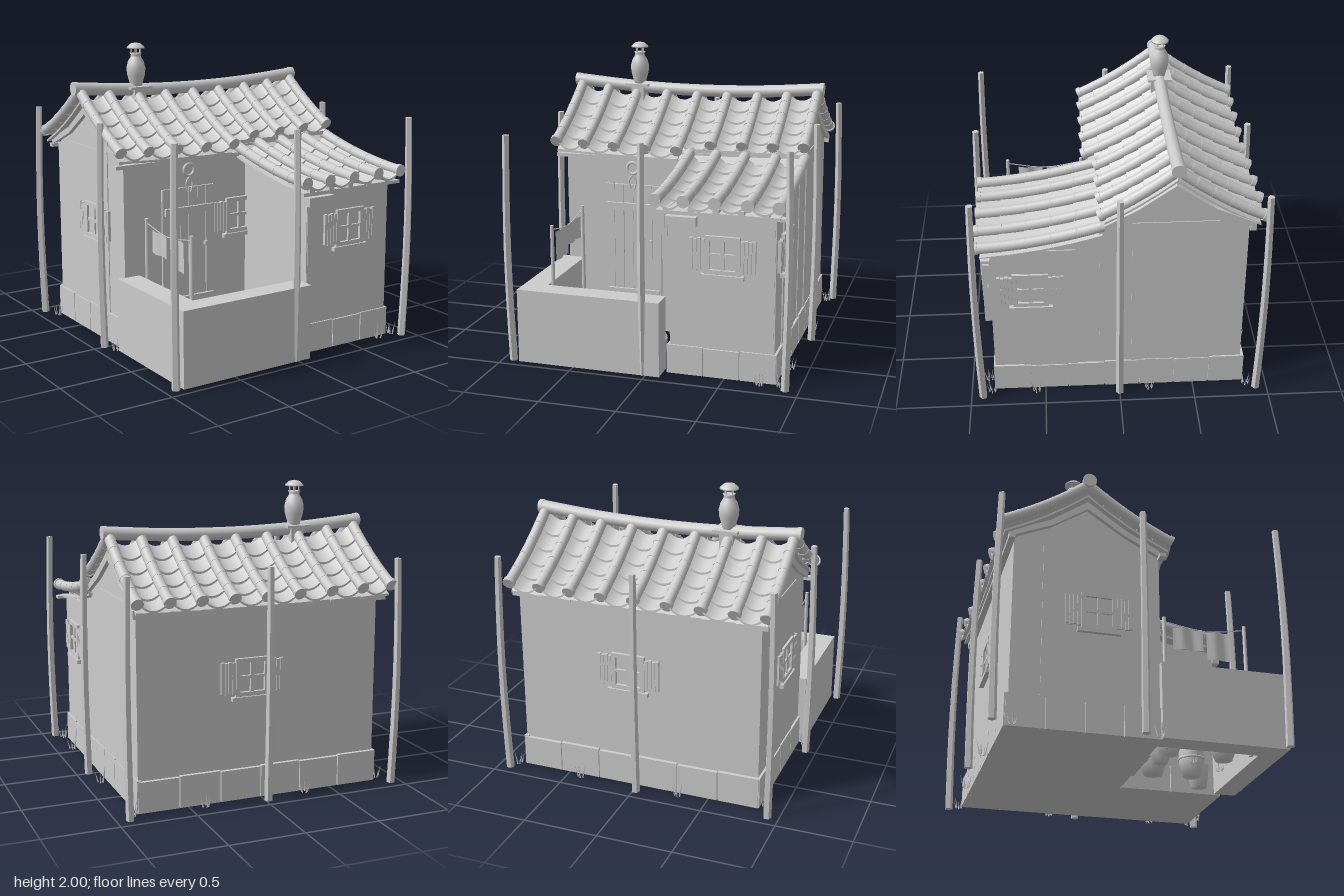
import * as THREE from 'three';

const stone = new THREE.MeshStandardMaterial({ color: 0xcccccc, side: THREE.DoubleSide });
stone.name = 'clay grey';

function add(parent, name, geo, x = 0, y = 0, z = 0) {
  const m = new THREE.Mesh(geo, stone);
  m.name = name;
  m.position.set(x, y, z);
  parent.add(m);
  return m;
}
// box given by its limits
function block(parent, name, x0, x1, y0, y1, z0, z1) {
  return add(parent, name, new THREE.BoxGeometry(x1 - x0, y1 - y0, z1 - z0), (x0 + x1) / 2, (y0 + y1) / 2, (z0 + z1) / 2);
}
function group(parent, name, x = 0, y = 0, z = 0, ry = 0) {
  const g = new THREE.Group();
  g.name = name;
  g.position.set(x, y, z);
  g.rotation.y = ry;
  parent.add(g);
  return g;
}
const lathe = (pts, n) => new THREE.LatheGeometry(pts.map(p => new THREE.Vector2(...p)), n);
const tube = (pts, r, n = 8, seg = 16) =>
  new THREE.TubeGeometry(new THREE.CatmullRomCurve3(pts.map(p => new THREE.Vector3(...p))), seg, r, n);

// extrude a (z, y) outline across x
function sideProfile(parent, name, pts, x0, x1) {
  const s = new THREE.Shape(pts.map(p => new THREE.Vector2(...p)));
  const g = new THREE.ExtrudeGeometry(s, { depth: x1 - x0, bevelEnabled: false });
  g.rotateY(-Math.PI / 2);
  return add(parent, name, g, x1, 0, 0);
}

// one roof slope: underlay, stepped hollow tiles, round cover tiles
function slope(parent, name, o) {
  const g = group(parent, name);
  const at = (x, s, dy = 0) => [x, o.y(x, s) + dy, o.z0 + o.dir * o.len * s];
  const sheet = (label, x0, x1, s0, s1, nx, shape) => {
    const geo = new THREE.BoxGeometry(1, 1, 1, nx, 1, 4), p = geo.attributes.position;
    for (let i = 0; i < p.count; i++) {
      const u = p.getX(i) * o.dir, v = p.getZ(i) + 0.5;
      p.setXYZ(i, ...at((x0 + x1) / 2 + u * (x1 - x0), s0 + (s1 - s0) * v, shape(u, v, p.getY(i))));
    }
    geo.computeVertexNormals();
    add(g, label, geo);
  };
  o.xs.forEach((x, i) => {
    const end = o.end(x), pts = [];
    for (let k = 0; k <= 8; k++) pts.push(at(x, end * k / 8));
    add(g, 'coverTile', tube(pts, 0.035, 12));
    const dirv = new THREE.Vector3(...pts[8]).sub(new THREE.Vector3(...pts[7])).normalize();
    [[pts[8], 0.041], [pts[0], 0.036]].forEach(([p, r]) => {
      const cap = add(g, 'coverTileEnd', new THREE.CylinderGeometry(r, r, 0.03, 14), ...p);
      cap.quaternion.setFromUnitVectors(new THREE.Vector3(0, 1, 0), dirv);
    });
    // slim collars where cover tiles overlap
    for (let k = 1; k < o.rows; k++) {
      const c = add(g, 'tileJoint', new THREE.CylinderGeometry(0.037, 0.037, 0.012, 12), ...at(x, end * k / o.rows));
      c.quaternion.setFromUnitVectors(new THREE.Vector3(0, 1, 0), dirv);
    }
    if (i === o.xs.length - 1) return;
    const x1 = o.xs[i + 1], e = o.end((x + x1) / 2);
    sheet('underlay', x, x1, 0, e * 0.97, 1, (u, v, t) => -0.08 + t * 0.015);
    for (let k = 0; k < o.rows; k++)
      sheet('hollowTile', x, x1, e * k / o.rows, e * (k + 1.08) / o.rows, 10,
        (u, v, t) => -0.07 + 0.065 * (2 * u) ** 2 + 0.018 * v + t * 0.014);
  });
}

// four-pane window with plank shutters, facing +z
function windowUnit(parent, name, x, y, z, ry) {
  const g = group(parent, name, x, y, z, ry);
  for (const s of [-1, 1]) {
    block(g, 'frameSide', s * 0.1 - 0.015, s * 0.1 + 0.015, -0.12, 0.12, -0.01, 0.02);
    block(g, 'frameRail', -0.115, 0.115, s * 0.11 - 0.014, s * 0.11 + 0.014, -0.01, 0.02);
    for (let i = 0; i < 4; i++) {
      const c = s * (0.128 + i * 0.025);
      block(g, 'shutterPlank', c - 0.011, c + 0.011, -0.107 + (i % 2) * 0.006, 0.1 + (i % 2) * 0.006, -0.005, 0.018);
    }
    block(g, 'shutterBatten', s * 0.165 - 0.045, s * 0.165 + 0.045, -0.01, 0.01, -0.005, 0.012);
  }
  block(g, 'mullion', -0.012, 0.012, -0.11, 0.11, -0.005, 0.014);
  block(g, 'glazingBar', -0.1, 0.1, -0.01, 0.01, -0.005, 0.014);
  block(g, 'sill', -0.14, 0.14, -0.152, -0.125, -0.01, 0.03);
}

export function createModel() {
  const root = new THREE.Group();
  root.name = 'courtyardHouse';

  // walls
  sideProfile(root, 'mainHouseWalls', [[-0.82, 0], [0.13, 0], [0.13, 1.25], [-0.11, 1.39], [-0.35, 1.565], [-0.59, 1.39], [-0.82, 1.27]], -0.83, 0.83);
  sideProfile(root, 'annexWalls', [[0.12, 0], [0.83, 0], [0.83, 1.08], [0.5, 1.12], [0.12, 1.21]], 0.135, 0.825);
  for (const s of [-1, 1]) block(root, 'gablePanel', s * 0.832 - 0.004, s * 0.832 + 0.004, 0.2, 1.31, -0.63, -0.08);
  block(root, 'annexSidePanel', 0.825, 0.833, 0.19, 1.12, 0.28, 0.64);
  block(root, 'annexFrontPanel', 0.142, 0.818, 0.19, 1.07, 0.826, 0.834);

  // stone plinth
  const slabs = (n, a, b, h, side) => {
    for (let i = 0; i < n; i++) {
      const p = a + (b - a) * i / n + 0.003, q = a + (b - a) * (i + 1) / n - 0.003, t = h - (i % 2) * 0.006;
      side(p, q, t);
    }
  };
  const slab = (...l) => block(root, 'plinthSlab', ...l);
  slabs(6, -0.84, 0.84, 0.21, (p, q, t) => slab(p, q, 0, t, -0.845, -0.81));
  slabs(4, -0.84, 0.1, 0.212, (p, q, t) => slab(0.81, 0.842, 0, t, p, q));
  slabs(3, 0.1, 0.84, 0.195, (p, q, t) => slab(0.81, 0.84, 0, t, p, q));
  slabs(4, -0.84, 0.13, 0.21, (p, q, t) => slab(-0.845, -0.81, 0, t, p, q));
  slabs(3, 0.12, 0.84, 0.195, (p, q, t) => slab(p, q, 0, t, 0.81, 0.845));
  slabs(2, 0.13, 0.84, 0.195, (p, q, t) => slab(0.115, 0.15, 0, t, p, q));

  // roofs
  const mainX = [-0.885, -0.68, -0.46, -0.235, -0.01, 0.21, 0.43, 0.64, 0.85];
  const mainY = (x, s) => 1.655 - 0.32 * (1.3 * s - 0.3 * s * s) + 0.045 * (x / 0.9) ** 2 * (1 - 0.5 * s);
  slope(root, 'mainRoofFront', { xs: mainX, y: mainY, z0: -0.355, dir: 1, len: 0.55, rows: 5, end: x => (x > 0.05 ? 0.86 : 1) });
  slope(root, 'mainRoofBack', { xs: mainX, y: mainY, z0: -0.355, dir: -1, len: 0.55, rows: 5, end: x => 0.98 + 0.04 * x * x });
  slope(root, 'annexRoof', { xs: [0.065, 0.25, 0.45, 0.66, 0.855], y: (x, s) => 1.31 - 0.14 * (1.7 * s - 0.7 * s * s),
    z0: 0.11, dir: 1, len: 0.8, rows: 5, end: () => 1 });
  add(root, 'ridgeTile', tube([-0.92, -0.45, 0, 0.45, 0.88].map(x => [x, mainY(x, 0) + 0.01, -0.355]), 0.043, 12, 24));
  for (const x of [-0.92, 0.88]) add(root, 'ridgeEnd', new THREE.CylinderGeometry(0.046, 0.046, 0.03, 14).rotateZ(Math.PI / 2), x, mainY(x, 0) + 0.01, -0.355);
  block(root, 'annexTopRail', 0.04, 0.88, 1.31, 1.335, 0.1, 0.125);

  // eave beams, rafter ends and gable boards
  block(root, 'mainEaveBeam', -0.9, 0.06, 1.235, 1.26, 0.12, 0.16);
  block(root, 'annexEaveBeam', 0.07, 0.89, 1.075, 1.095, 0.82, 0.88);
  block(root, 'backEaveBeam', -0.88, 0.86, 1.245, 1.27, -0.86, -0.82);
  for (let i = 0; i < 5; i++) block(root, 'annexRafterEnd', 0.11 + i * 0.16, 0.15 + i * 0.16, 1.09, 1.125, 0.6, 0.89);
  for (const x of [-0.86, 0.83])
    sideProfile(root, 'gableBoard', [[-0.86, 1.26], [-0.59, 1.375], [-0.35, 1.535], [-0.11, 1.375], [0.13, 1.25], [0.13, 1.29], [-0.11, 1.42], [-0.35, 1.59], [-0.59, 1.42], [-0.86, 1.3]], x, x + 0.03);
  block(root, 'annexBracket', 0.12, 0.32, 1.0, 1.06, 0.83, 0.88);

  // plank door
  const door = group(root, 'door', -0.34, 0, 0.13);
  for (let i = 0; i < 6; i++) block(door, 'doorPlank', -0.206 + i * 0.069, -0.14 + i * 0.069, 0, 1.06, 0, 0.015 + (i % 2) * 0.003);
  for (const y of [0.28, 0.905]) block(door, 'doorBar', -0.19, 0.19, y - 0.025, y + 0.025, 0.01, 0.035);
  block(door, 'doorHandle', 0.12, 0.14, 0.645, 0.67, 0.01, 0.04);

  // wreath above the door
  const wreath = group(root, 'wreath', -0.34, 1.18, 0.15);
  add(wreath, 'wreathRing', new THREE.TorusGeometry(0.04, 0.01, 8, 18));
  for (const s of [-1, 1]) add(wreath, 'wreathTail', tube([[0, -0.045, 0.005], [s * 0.025, -0.09, 0.005], [s * 0.012, -0.15, 0.005]], 0.006, 6));

  // windows
  windowUnit(root, 'annexFrontWindow', 0.485, 0.82, 0.835, 0);
  windowUnit(root, 'annexSideWindow', 0.828, 0.82, 0.575, Math.PI / 2);
  windowUnit(root, 'courtyardWindow', 0.08, 0.82, 0.135, 0);
  windowUnit(root, 'leftWindow', -0.832, 0.81, -0.27, -Math.PI / 2);
  windowUnit(root, 'backWindow', 0.06, 0.81, -0.822, Math.PI);

  // jar chimney
  const chimney = group(root, 'chimney', -0.45, 0, -0.355);
  block(chimney, 'chimneyStem', -0.045, 0.045, 1.54, 1.7, -0.06, 0.06);
  block(chimney, 'chimneyPlate', -0.083, 0.083, 1.685, 1.702, -0.083, 0.083);
  add(chimney, 'chimneyJar', lathe([[0, 1.69], [0.038, 1.69], [0.045, 1.72], [0.062, 1.78], [0.066, 1.825], [0.055, 1.87], [0.036, 1.9], [0.034, 1.915], [0.042, 1.928], [0.03, 1.928], [0, 1.92]], 20));
  for (let i = 0; i < 4; i++) {
    const a = i * Math.PI / 2 + 0.6;
    block(chimney, 'capStrut', -0.004, 0.004, 1.92, 1.965, -0.004, 0.004).position.add(new THREE.Vector3(0.03 * Math.cos(a), 0, 0.03 * Math.sin(a)));
  }
  add(chimney, 'chimneyCap', lathe([[0, 1.955], [0.062, 1.96], [0.06, 1.97], [0.035, 1.992], [0, 2]], 18));

  // low courtyard wall
  const ell = new THREE.Shape([[-0.88, -0.94], [0.095, -0.94], [0.095, -0.79], [-0.72, -0.79], [-0.72, -0.12], [-0.88, -0.12]].map(p => new THREE.Vector2(...p)));
  add(root, 'courtyardWall', new THREE.ExtrudeGeometry(ell, { depth: 0.5, bevelEnabled: false }).rotateX(-Math.PI / 2));

  // bowed boundary poles
  for (const x of [-0.925, -0.02, 0.915]) for (const z of [-0.925, 0, 0.92]) {
    if (Math.abs(x) < 0.1 && z === 0) continue;
    const g = new THREE.CylinderGeometry(0.023, 0.028, 1.525, 5, 8), p = g.attributes.position;
    const sx = Math.abs(x) < 0.1 ? 0 : Math.sign(x), sz = Math.sign(z);
    for (let i = 0; i < p.count; i++) {
      const b = 0.012 * Math.cos(p.getY(i) / 0.7625 * Math.PI / 2);
      p.setX(i, p.getX(i) + sx * b);
      p.setZ(i, p.getZ(i) + sz * b);
    }
    add(root, 'boundaryPole', g.toNonIndexed(), x, 0.7625, z).geometry.computeVertexNormals();
  }

  // clothes line
  const line = group(root, 'clothesLine', -0.7, 0, 0);
  for (const z of [0.2, 0.75]) add(line, 'linePole', new THREE.CylinderGeometry(0.013, 0.015, 0.9, 8), 0, 0.45, z);
  add(line, 'cord', tube([[0, 0.87, 0.2], [0, 0.83, 0.47], [0, 0.87, 0.75]], 0.004, 5));
  for (const [z, w, h] of [[0.58, 0.18, 0.2], [0.36, 0.2, 0.15]]) {
    const cloth = new THREE.PlaneGeometry(w, h, 8, 1).rotateY(Math.PI / 2), p = cloth.attributes.position;
    for (let i = 0; i < p.count; i++) p.setX(i, 0.008 * Math.sin(p.getZ(i) * 50));
    cloth.computeVertexNormals();
    add(line, 'cloth', cloth, 0, 0.835 - h / 2, z);
  }

  // jars and bowls in the yard
  for (const [x, z, r] of [[-0.59, 0.26, 0.075], [-0.42, 0.25, 0.07]]) {
    add(root, 'smallJar', lathe([[0, 0], [0.6 * r, 0], [r, 0.09], [r, 0.13], [0.7 * r, 0.18], [0.35 * r, 0.2], [0.3 * r, 0.225], [0, 0.23]], 7), x, 0, z);
  }
  for (const [x, z, r] of [[-0.195, 0.265, 0.105], [-0.215, 0.525, 0.093]]) {
    add(root, 'clothCoveredJar', lathe([[0, 0], [0.6 * r, 0], [0.9 * r, 0.1], [0.88 * r, 0.2], [0.8 * r, 0.215], [0.98 * r, 0.2], [r, 0.225], [0.85 * r, 0.25], [0, 0.265]], 14), x, 0, z);
    add(root, 'jarBand', new THREE.TorusGeometry(0.9 * r, 0.008, 6, 16).rotateX(Math.PI / 2), x, 0.12, z);
  }
  add(root, 'fruitBowl', lathe([[0, 0], [0.055, 0], [0.085, 0.08], [0.095, 0.13], [0.085, 0.13], [0.07, 0.1], [0, 0.1]], 18), -0.575, 0, 0.615);
  for (let i = 0; i < 8; i++) {
    const a = i * Math.PI * 2 / 7, r = i < 7 ? 0.047 : 0;
    add(root, 'fruit', new THREE.SphereGeometry(0.023, 10, 8), -0.575 + r * Math.cos(a), i < 7 ? 0.13 : 0.15, 0.615 + r * Math.sin(a));
  }
  add(root, 'bucket', lathe([[0, 0], [0.055, 0], [0.075, 0.15], [0.065, 0.15], [0.05, 0.02], [0, 0.02]], 16), -0.015, 0, 0.64);
  add(root, 'bucketHandle', new THREE.TorusGeometry(0.072, 0.006, 6, 16, Math.PI), -0.015, 0.15, 0.64);

  // grass tufts
  for (const [x, z] of [[0.74, 0.88], [0.87, 0.86], [0.88, 0.56], [0.89, -0.2], [0.88, -0.86], [0.4, -0.88], [-0.3, -0.88], [-0.88, -0.8], [-0.89, 0.1], [-0.5, 0.44], [-0.38, 0.66]]) {
    const yard = x < -0.3 && z > 0.4;
    for (let i = 0; i < 5; i++) {
      const a = i * 2.4 + x * 9, h = (yard ? 0.04 : 0.07) + 0.01 * (i % 4);
      const blade = add(root, 'grassBlade', new THREE.ConeGeometry(0.006, h, 3).translate(0, h / 2, 0), x + 0.018 * Math.cos(a), 0, z + 0.018 * Math.sin(a));
      blade.rotation.set(0.25 * Math.sin(a), 0, -0.25 * Math.cos(a));
    }
  }
  return root;
}
